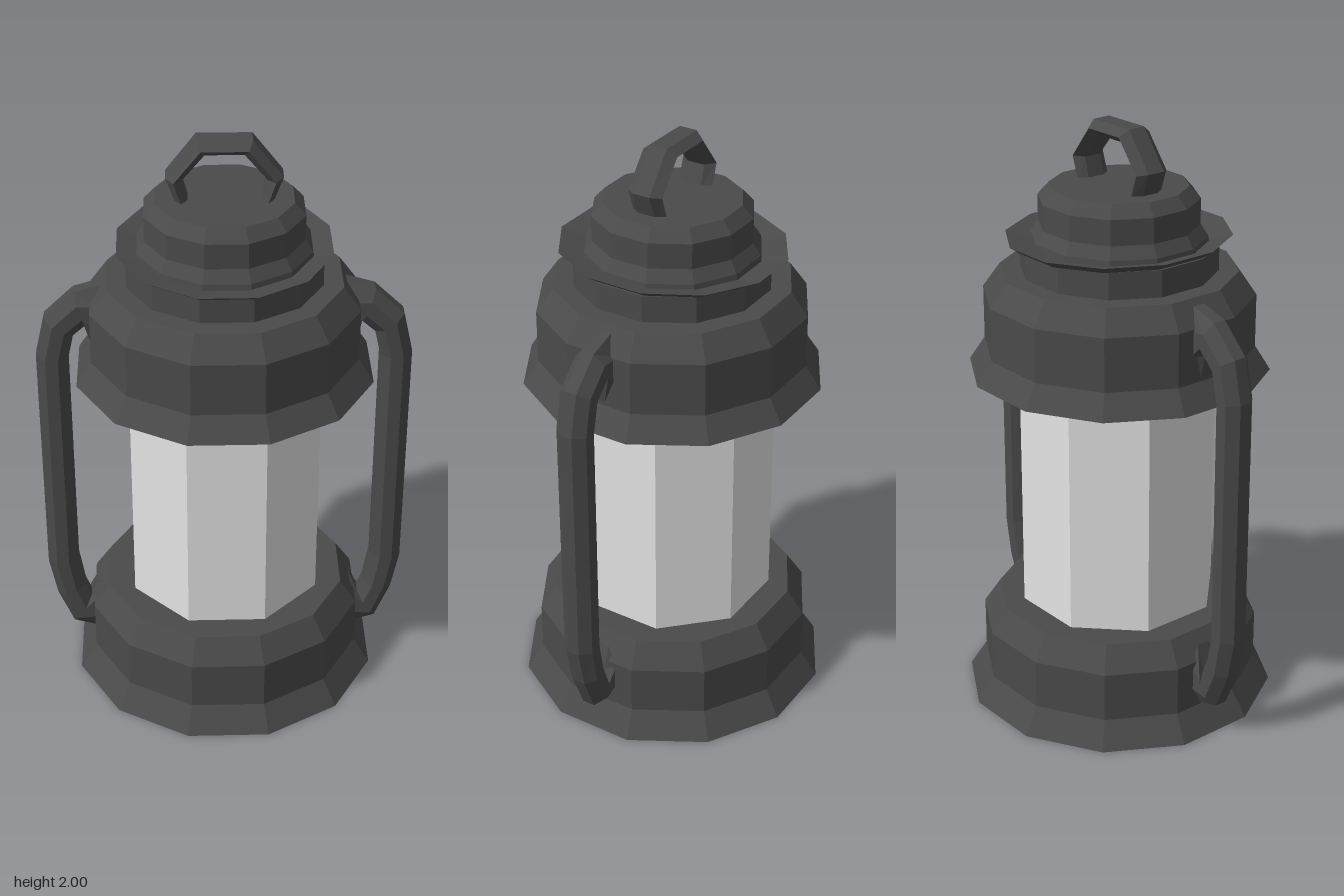
import * as THREE from 'three';

const darkMetal = new THREE.MeshStandardMaterial({ color: 0x4a4a4a, flatShading: true });
darkMetal.name = 'dark metal';
const paleGlass = new THREE.MeshStandardMaterial({ color: 0xe4e4e4, flatShading: true });
paleGlass.name = 'pale glass';

// Faceted turned part; the profile gives [flat-to-centre distance, height], bottom to top
function turned(name, profile, sides, material) {
  const k = 1 / Math.cos(Math.PI / sides);
  const points = profile.map(([r, y]) => new THREE.Vector2(r * k, y));
  const mesh = new THREE.Mesh(new THREE.LatheGeometry(points, sides, Math.PI / sides), material);
  mesh.name = name;
  return mesh;
}

// Bar swept in the xy plane; each section is [outerX, outerY, innerX, innerY]
function bentBar(name, sections, outline, halfDepth) {
  const n = outline.length;
  const positions = [];
  const index = [];
  for (const [ox, oy, ix, iy] of sections) {
    for (const [u, v] of outline) {
      positions.push(
        (ox + ix) / 2 + (u * (ox - ix)) / 2,
        (oy + iy) / 2 + (u * (oy - iy)) / 2,
        v * halfDepth
      );
    }
  }
  const last = (sections.length - 1) * n;
  for (let i = 0; i < last; i += n) {
    for (let j = 0; j < n; j++) {
      const a = i + j;
      const b = i + ((j + 1) % n);
      index.push(a, b, b + n, a, b + n, a + n);
    }
  }
  // End caps
  for (let j = 1; j < n - 1; j++) {
    index.push(0, j + 1, j, last, last + j, last + j + 1);
  }
  const geometry = new THREE.BufferGeometry();
  geometry.setAttribute('position', new THREE.Float32BufferAttribute(positions, 3));
  geometry.setIndex(index);
  geometry.computeVertexNormals();
  const mesh = new THREE.Mesh(geometry, darkMetal);
  mesh.name = name;
  return mesh;
}

export function createModel() {
  const lantern = new THREE.Group();
  lantern.name = 'lantern';

  // Foot and glass chimney
  lantern.add(turned('base', [[0, 0], [0.515, 0], [0.46, 0.09], [0.46, 0.26], [0.405, 0.345], [0, 0.345]], 12, darkMetal));
  lantern.add(turned('glass', [[0.315, 0.34], [0.315, 1.19]], 8, paleGlass));

  // Hood, neck, flared rim and top cap
  lantern.add(turned('hood', [[0, 1.18], [0.485, 1.18], [0.435, 1.26], [0.435, 1.44], [0.38, 1.52], [0, 1.52]], 12, darkMetal));
  lantern.add(turned('neck', [[0.315, 1.51], [0.315, 1.61], [0, 1.61]], 12, darkMetal));
  const rim = turned('rim', [[0.3, 1.605], [0.33, 1.61], [0.37, 1.637], [0.28, 1.615]], 12, darkMetal);
  rim.scale.x = 0.93;
  lantern.add(rim);
  lantern.add(turned('topCap', [[0.285, 1.6], [0.28, 1.635], [0.255, 1.675], [0.255, 1.76], [0.22, 1.8], [0, 1.8]], 12, darkMetal));

  // Side handles, widening where they meet the hood and base
  const octagon = [[1, -0.4], [1, 0.4], [0.4, 1], [-0.4, 1], [-1, 0.4], [-1, -0.4], [-0.4, -1], [0.4, -1]];
  const handlePath = [
    [0.39, 1.5, 0.436, 1.275],
    [0.49, 1.47, 0.45, 1.35],
    [0.588, 1.376, 0.495, 1.31],
    [0.62, 1.235, 0.515, 1.22],
    [0.62, 0.39, 0.515, 0.4],
    [0.593, 0.25, 0.495, 0.28],
    [0.54, 0.12, 0.475, 0.23],
    [0.457, 0.095, 0.445, 0.31],
  ];
  for (const [name, turn] of [['leftHandle', 0], ['rightHandle', Math.PI]]) {
    const handle = bentBar(name, handlePath, octagon, 0.056);
    handle.rotation.y = turn;
    lantern.add(handle);
  }

  // Carrying loop
  const hexagon = [[1, -0.5], [1, 0.5], [0, 1], [-1, 0.5], [-1, -0.5], [0, -1]];
  const halfLoop = [
    [0.15, 1.78, 0.11, 1.78],
    [0.185, 1.875, 0.135, 1.865],
    [0.088, 2, 0.062, 1.952],
  ];
  const mirrored = halfLoop.map(([ox, oy, ix, iy]) => [-ox, oy, -ix, iy]);
  lantern.add(bentBar('carryLoop', [...mirrored, ...halfLoop.reverse()], hexagon, 0.062));

  return lantern;
}
